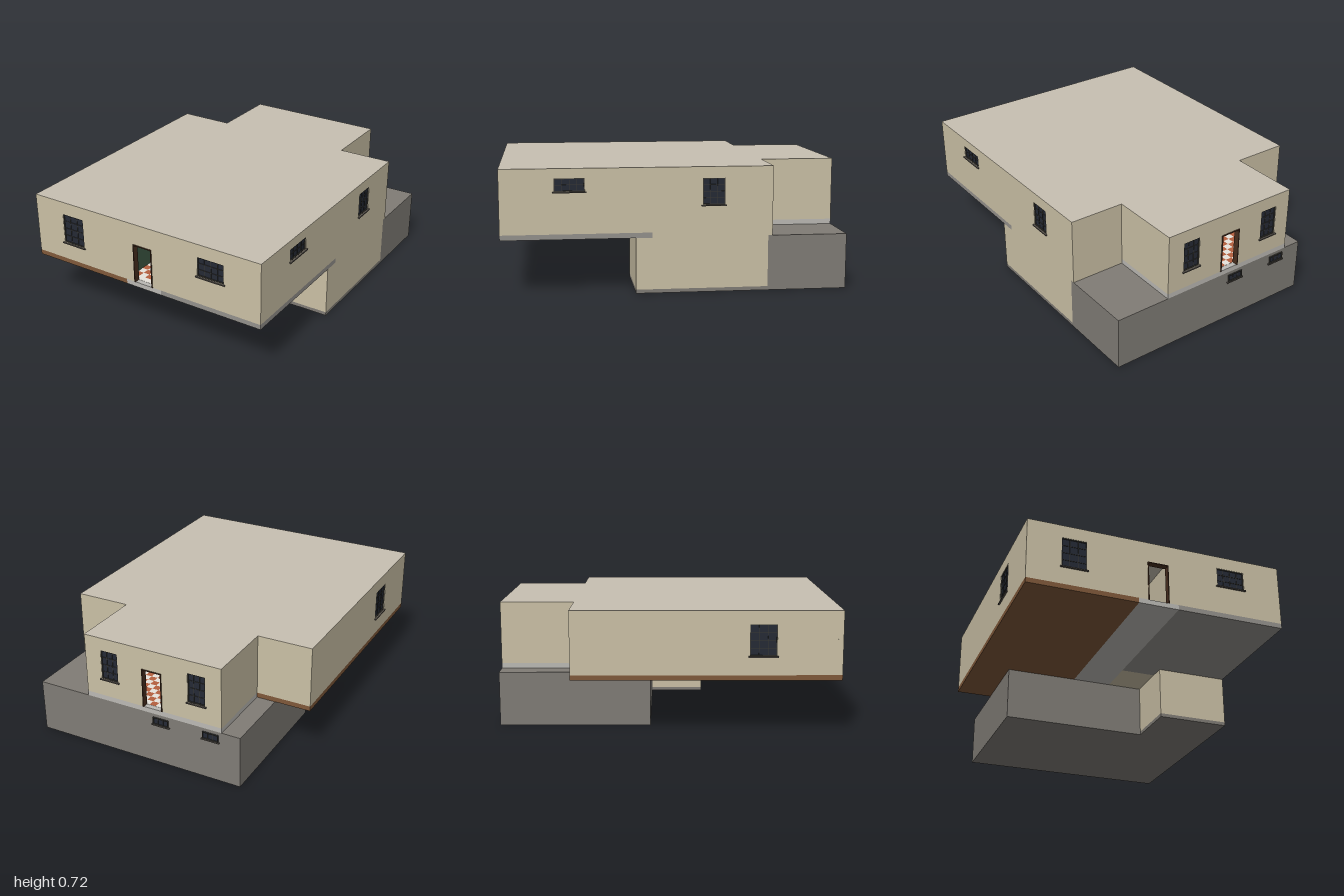
import * as THREE from 'three';
import { mergeGeometries } from 'three/addons/utils/BufferGeometryUtils.js';

const mat = (color, side = THREE.FrontSide) => new THREE.MeshStandardMaterial({ color, side });
const M = {
  plaster: mat(0xcbc1a6), roof: mat(0xc8c0b2), stone: mat(0x807c76), slab: mat(0x94918c),
  pale: mat(0xbcbab5), wood: mat(0x80593a), glass: mat(0x252a35), frame: mat(0x3a3934),
  sill: mat(0x55504a), door: mat(0x4a3020), green: mat(0x3f5a45), tile: mat(0xe8e4dc), red: mat(0xb5603f),
};

// Box given by its limits on each axis
function box(parent, name, material, [x0, x1], [y0, y1], [z0, z1]) {
  const m = new THREE.Mesh(new THREE.BoxGeometry(x1 - x0, y1 - y0, z1 - z0), material);
  m.position.set((x0 + x1) / 2, (y0 + y1) / 2, (z0 + z1) / 2);
  m.name = name;
  parent.add(m);
  return m;
}

const FLOOR = 0.35, EAVE = 0.7, TOP = 0.72, T = 0.03;

// Glazed window with frame, bars and sill, in wall coordinates (outside is +z)
function windowUnit(parent, { u, w, y0, y1, cols, rows }, glassZ = -0.008) {
  const g = new THREE.Group();
  g.name = 'window';
  parent.add(g);
  const a = u - w / 2, b = u + w / 2, f = 0.005;
  box(g, 'glass', M.glass, [a, b], [y0, y1], [glassZ - 0.006, glassZ]);
  const z = [glassZ - 0.008, glassZ + 0.006];
  for (const x of [a, b - f]) box(g, 'frameSide', M.frame, [x, x + f], [y0, y1], z);
  for (const y of [y0, y1 - f]) box(g, 'frameRail', M.frame, [a, b], [y, y + f], z);
  const barZ = [glassZ - 0.001, glassZ + 0.003];
  for (let i = 1; i < cols; i++) {
    const x = a + (w * i) / cols;
    box(g, 'bar', M.frame, [x - 0.0012, x + 0.0012], [y0, y1], barZ);
  }
  for (let i = 1; i < rows; i++) {
    const y = y0 + ((y1 - y0) * i) / rows;
    box(g, 'bar', M.frame, [a, b], [y - 0.0012, y + 0.0012], barZ);
  }
  box(g, 'sill', M.sill, [a - 0.008, b + 0.008], [y0 - 0.007, y0], [-0.015, 0.01]);
}

// Wall from p0 to p1 with window holes and an optional doorway
function wall(parent, name, p0, p1, windows = [], door = null) {
  const dx = p1[0] - p0[0], dz = p1[1] - p0[1], len = Math.hypot(dx, dz);
  const g = new THREE.Group();
  g.name = name;
  g.position.set(p0[0], 0, p0[1]);
  g.rotation.y = Math.atan2(-dz, dx);
  const pts = [[0, FLOOR]];
  if (door) {
    const a = door.u - door.w / 2, b = door.u + door.w / 2;
    pts.push([a, FLOOR], [a, door.y1], [b, door.y1], [b, FLOOR]);
  }
  pts.push([len, FLOOR], [len, EAVE], [0, EAVE]);
  const shape = new THREE.Shape(pts.map(p => new THREE.Vector2(...p)));
  for (const { u, w, y0, y1 } of windows) {
    const a = u - w / 2, b = u + w / 2;
    shape.holes.push(new THREE.Path([[a, y0], [a, y1], [b, y1], [b, y0]].map(p => new THREE.Vector2(...p))));
  }
  const geo = new THREE.ExtrudeGeometry(shape, { depth: T, bevelEnabled: false }).translate(0, 0, -T);
  const panel = new THREE.Mesh(geo, M.plaster);
  panel.name = 'wallPanel';
  g.add(panel);
  windows.forEach(w => windowUnit(g, w));
  if (door) {
    // Thin door lining
    const a = door.u - door.w / 2, b = door.u + door.w / 2, f = 0.004, z = [-T - 0.002, 0.006];
    box(g, 'doorJamb', M.door, [a - f, a + 0.001], [FLOOR, door.y1 + f], z);
    box(g, 'doorJamb', M.door, [b - 0.001, b + f], [FLOOR, door.y1 + f], z);
    box(g, 'doorHead', M.door, [a, b], [door.y1 - 0.001, door.y1 + f], z);
  }
  parent.add(g);
}

// Checked tile floor
function tiledFloor(parent, x0, x1, z0, z1) {
  const s = 0.04, quads = [];
  box(parent, 'tileBase', M.tile, [x0, x1], [FLOOR - 0.001, FLOOR + 0.001], [z0, z1]);
  for (let i = 0; x0 + (i + 1) * s <= x1 + 1e-6; i++)
    for (let j = i % 2; z0 + (j + 1) * s <= z1 + 1e-6; j += 2)
      quads.push(new THREE.PlaneGeometry(s, s).rotateX(-Math.PI / 2)
        .translate(x0 + (i + 0.5) * s, FLOOR + 0.002, z0 + (j + 0.5) * s));
  const m = new THREE.Mesh(mergeGeometries(quads), M.red);
  m.name = 'redTiles';
  parent.add(m);
}

export function createModel() {
  const house = new THREE.Group();
  house.name = 'house';
  const L = -0.775, R = 0.775, F = 0.99, B = -0.99, S = -0.555, W = 0.44;

  // Basement
  const basement = new THREE.Group();
  basement.name = 'basement';
  house.add(basement);
  box(basement, 'stoneFront', M.stone, [-0.555, 0.335], [0, 0.32], [-0.53, -0.1]);
  box(basement, 'stoneRear', M.stone, [-0.555, R], [0, 0.32], [B, -0.53]);
  box(basement, 'plasteredRoom', M.plaster, [0.335, R], [0.022, 0.32], [-0.53, 0.23]);
  box(basement, 'plinth', M.stone, [0.335, R], [0, 0.022], [-0.53, 0.23]);
  const rear = new THREE.Group();
  rear.name = 'basementWindows';
  rear.position.z = B;
  rear.rotation.y = Math.PI;
  basement.add(rear);
  for (const u of [0.05, 0.37]) windowUnit(rear, { u, w: 0.1, y0: 0.255, y1: 0.3, cols: 3, rows: 1 }, 0.002);

  // Floor slabs
  const slabs = new THREE.Group();
  slabs.name = 'floorSlabs';
  house.add(slabs);
  const sy = [0.32, FLOOR];
  box(slabs, 'woodSlab', M.wood, [L, -0.12], sy, [S, F]);
  box(slabs, 'hallSlab', M.pale, [-0.12, 0.12], sy, [S, F]);
  box(slabs, 'frontSlab', M.slab, [0.12, R], sy, [0.135, F]);
  box(slabs, 'sideSlab', M.plaster, [0.12, R], sy, [S, 0.135]);
  box(slabs, 'rearSlab', M.pale, [-W, W], sy, [B, S]);

  // Outer walls, in order around the plan
  const door = u => ({ u, w: 0.118, y1: 0.588 });
  const win = (u, w, y0, y1, cols, rows) => ({ u, w, y0, y1, cols, rows });
  wall(house, 'frontWall', [L, F], [R, F],
    [win(0.275, 0.148, 0.46, 0.642, 3, 4), win(1.232, 0.172, 0.525, 0.642, 4, 3)], door(0.775));
  wall(house, 'leftWall', [R, F], [R, S],
    [win(0.39, 0.172, 0.59, 0.665, 4, 2), win(1.205, 0.128, 0.503, 0.655, 3, 4)]);
  wall(house, 'leftReturn', [R, S], [W, S]);
  wall(house, 'rearLeftWall', [W, S], [W, B]);
  wall(house, 'backWall', [W, B], [-W, B],
    [win(0.16, 0.11, 0.46, 0.642, 3, 4), win(0.725, 0.11, 0.46, 0.642, 3, 4)], door(0.44));
  wall(house, 'rearRightWall', [-W, B], [-W, S]);
  wall(house, 'rightReturn', [-W, S], [L, S]);
  wall(house, 'rightWall', [L, S], [L, F], [win(1.095, 0.155, 0.46, 0.642, 3, 4)]);

  // Interior hall
  const hall = new THREE.Group();
  hall.name = 'interior';
  house.add(hall);
  tiledFloor(hall, -0.12, 0.12, S, F - T);
  tiledFloor(hall, -0.4, 0.4, B + T, S);
  box(hall, 'greenPartition', M.green, [-0.14, -0.12], [FLOOR, EAVE], [0.1, F - T]);
  box(hall, 'partition', M.plaster, [0.12, 0.14], [FLOOR, EAVE], [0.1, F - T]);

  // Flat roof following the plan
  const plan = [[L, -F], [R, -F], [R, -S], [W, -S], [W, -B], [-W, -B], [-W, -S], [L, -S]];
  const roofGeo = new THREE.ExtrudeGeometry(new THREE.Shape(plan.map(p => new THREE.Vector2(...p))),
    { depth: TOP - EAVE, bevelEnabled: false }).rotateX(-Math.PI / 2).translate(0, EAVE, 0);
  const roof = new THREE.Mesh(roofGeo, [M.roof, M.plaster]);
  roof.name = 'roof';
  house.add(roof);
  return house;
}
